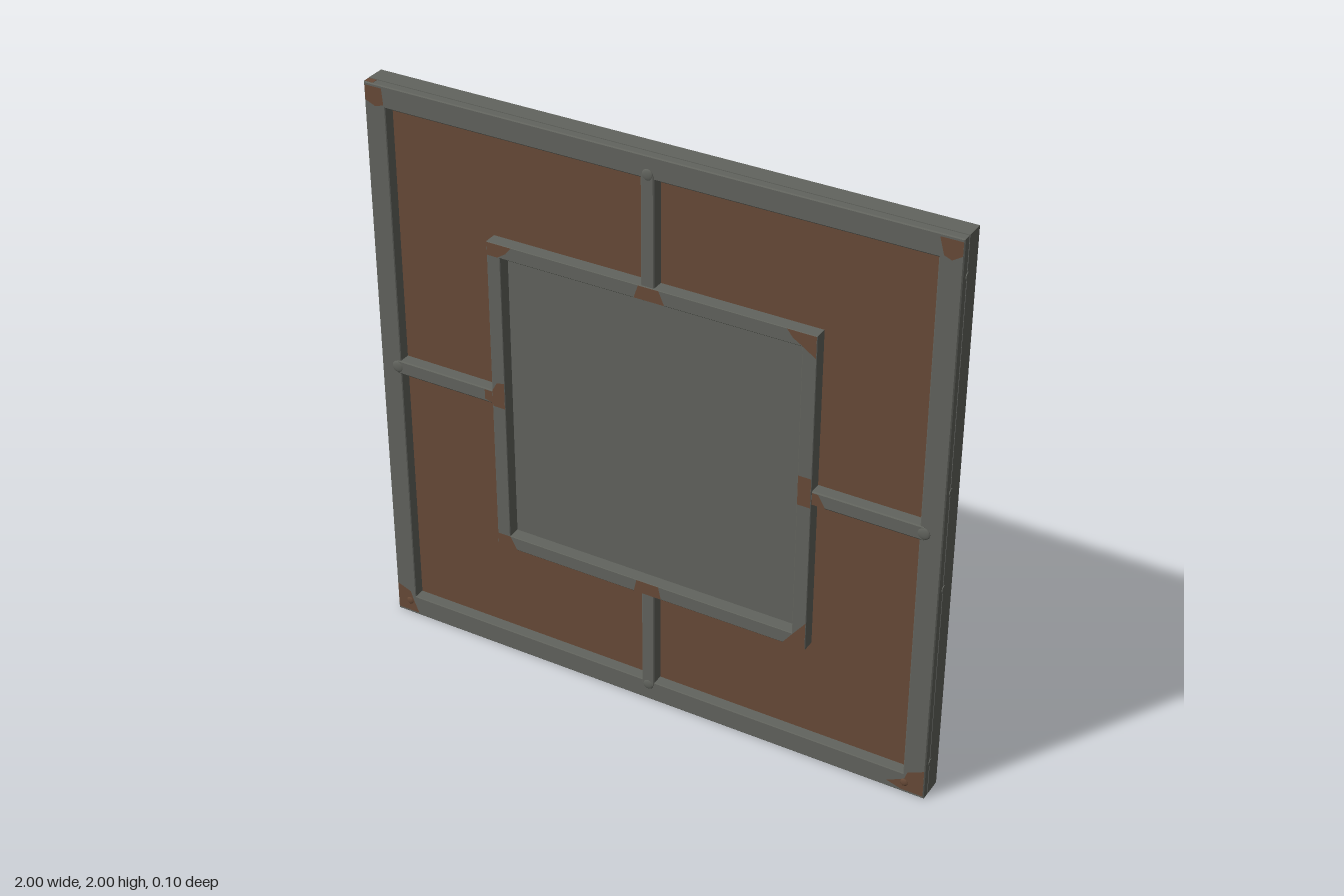
import * as THREE from 'three';

const steel = new THREE.MeshStandardMaterial({ color: 0x62645e });
steel.name = 'grey steel';
const rust = new THREE.MeshStandardMaterial({ color: 0x694b38 });
rust.name = 'rust brown';

function add(parent, name, geometry, material, x = 0, y = 0, z = 0) {
  const mesh = new THREE.Mesh(geometry, material);
  mesh.name = name;
  mesh.position.set(x, y, z);
  parent.add(mesh);
  return mesh;
}

// Square mitred frame; profile points are [half size, z] from the outer foot to the inner foot
function frameGeometry(profile) {
  const corners = [[-1, -1], [1, -1], [1, 1], [-1, 1]];
  const pos = [];
  const at = (c, [r, z]) => [corners[c % 4][0] * r, corners[c % 4][1] * r, z];
  for (let c = 0; c < 4; c++) {
    for (let i = 0; i < profile.length - 1; i++) {
      const a = at(c, profile[i]), b = at(c + 1, profile[i]);
      const d = at(c, profile[i + 1]), e = at(c + 1, profile[i + 1]);
      pos.push(...a, ...b, ...e, ...a, ...e, ...d);
    }
  }
  const g = new THREE.BufferGeometry();
  g.setAttribute('position', new THREE.Float32BufferAttribute(pos, 3));
  g.computeVertexNormals();
  return g;
}

// Strut with softened edges running outward along -y, with its height along +z
function strutGeometry(w, length) {
  const t = w - 0.004;
  const section = new THREE.Shape([
    [-w, 0], [w, 0], [w, 0.04], [t, 0.043], [-t, 0.043], [-w, 0.04],
  ].map(([x, y]) => new THREE.Vector2(x, y)));
  const g = new THREE.ExtrudeGeometry(section, { depth: length, bevelEnabled: false });
  return g.rotateX(Math.PI / 2);
}

function patchGeometry(points) {
  return new THREE.ShapeGeometry(new THREE.Shape(points.map(([x, y]) => new THREE.Vector2(x, y))));
}

export function createModel() {
  const model = new THREE.Group();
  model.name = 'wallPanel';

  // Body and recessed faces
  add(model, 'backSlab', new THREE.BoxGeometry(2, 2, 0.053), steel, 0, 1, -0.0235);
  add(model, 'rustField', new THREE.PlaneGeometry(1.86, 1.86), rust, 0, 1, 0.005);
  add(model, 'centrePlate', new THREE.PlaneGeometry(1.06, 1.06), steel, 0, 0.9975, 0.006);

  // Raised frames, the outer one with a narrow seam around its edge
  add(model, 'outerFrame', frameGeometry([
    [1, 0.003], [1, 0.014], [0.997, 0.014], [0.997, 0.017], [0.9995, 0.017], [0.9995, 0.041],
    [0.996, 0.044], [0.928, 0.044], [0.925, 0.042], [0.925, 0.003],
  ]), steel, 0, 1, 0);
  add(model, 'innerFrame', frameGeometry([
    [0.569, 0.003], [0.569, 0.048], [0.567, 0.0495], [0.523, 0.0495], [0.521, 0.048], [0.521, 0.003],
  ]), steel, 0, 0.9975, 0);

  // Struts between the frames, each ending in a low rounded cap
  ['bottom', 'left', 'top', 'right'].forEach((side, k) => {
    const arm = new THREE.Group();
    arm.name = side + 'Strut';
    arm.position.set(0, 1, 0.003);
    arm.rotation.z = k * Math.PI / 2;
    const width = k % 2 ? 0.025 : 0.023;
    add(arm, 'strutBar', strutGeometry(width, 0.373), steel, 0, -0.565, 0);
    const cap = add(arm, 'strutEnd', new THREE.SphereGeometry(width - 0.004, 16, 8), steel, 0, -0.938, 0.041);
    cap.scale.z = 0.25;
    model.add(arm);
  });

  // Rust patches on the outer frame corners
  [
    [[-0.996, 1.94], [-0.96, 1.925], [-0.93, 1.935], [-0.935, 1.99], [-0.996, 1.99]],
    [[0.925, 1.99], [0.94, 1.935], [0.965, 1.925], [0.996, 1.945], [0.996, 1.99]],
    [[-0.996, 0.01], [-0.915, 0.01], [-0.935, 0.06], [-0.945, 0.09], [-0.996, 0.11]],
    [[0.87, 0.025], [0.92, 0.01], [0.996, 0.01], [0.996, 0.11], [0.94, 0.085], [0.93, 0.055]],
  ].forEach((p) => add(model, 'outerRustPatch', patchGeometry(p), rust, 0, 0, 0.0448));

  // Rust patches on the inner frame corners and joints
  [
    [[-0.567, 1.52], [-0.53, 1.52], [-0.5, 1.54], [-0.48, 1.565], [-0.567, 1.565]],
    [[0.47, 1.565], [0.49, 1.54], [0.523, 1.52], [0.567, 1.49], [0.567, 1.565]],
    [[-0.567, 0.43], [-0.495, 0.43], [-0.52, 0.475], [-0.567, 0.475]],
    [[0.49, 0.43], [0.567, 0.43], [0.567, 0.53], [0.524, 0.475]],
    [[-0.045, 1.52], [0.06, 1.52], [0.04, 1.565], [-0.03, 1.565]],
    [[-0.05, 0.43], [0.05, 0.43], [0.04, 0.475], [-0.04, 0.475]],
    [[-0.567, 0.97], [-0.523, 0.97], [-0.523, 1.065], [-0.55, 1.06], [-0.567, 1.03]],
    [[0.523, 0.965], [0.567, 0.965], [0.567, 1.07], [0.523, 1.07]],
  ].forEach((p) => add(model, 'innerRustPatch', patchGeometry(p), rust, 0, 0, 0.0502));

  // Rust spreading from the joints onto the side struts
  [
    [[-0.6, 0.985], [-0.57, 0.978], [-0.57, 1.02], [-0.6, 1.02]],
    [[0.57, 0.978], [0.615, 0.978], [0.59, 1.02], [0.57, 1.02]],
  ].forEach((p) => add(model, 'strutRustPatch', patchGeometry(p), rust, 0, 0, 0.0467));

  // Rust wrapping over the top edge
  add(model, 'topRustPatch', new THREE.BoxGeometry(0.03, 0.002, 0.022), rust, -0.983, 1.9992, 0.029);

  // Corner rivets
  for (const [x, y] of [[-0.95, 0.05], [0.93, 0.04]]) {
    const rivet = add(model, 'cornerRivet', new THREE.SphereGeometry(0.014, 10, 8), rust, x, y, 0.044);
    rivet.scale.z = 0.3;
  }

  // Small studs on the seam along both side edges
  for (const s of [-1, 1]) {
    for (const y of [0.13, 0.8, 1.15, 1.87]) {
      const stud = add(model, 'sideStud', new THREE.CylinderGeometry(0.013, 0.013, 0.01, 10), steel, s * 0.997, y, 0.012);
      stud.rotation.z = Math.PI / 2;
    }
  }
  return model;
}
